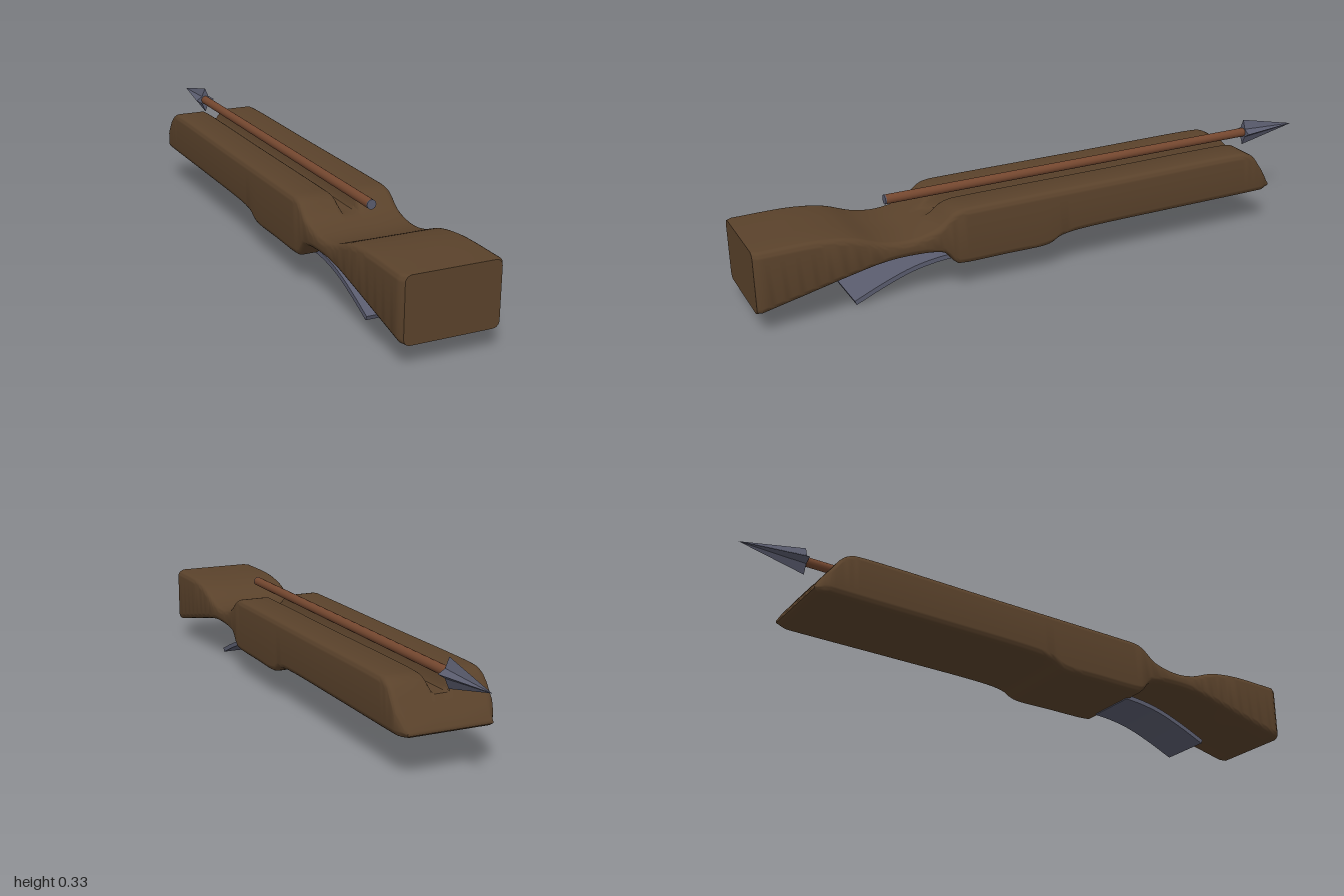
import * as THREE from 'three';
import { toCreasedNormals } from 'three/addons/utils/BufferGeometryUtils.js';

const mat = (color) => new THREE.MeshStandardMaterial({ color });
const wood = mat(0x5a422b), shaftWood = mat(0x74472f), metal = mat(0x5a5c6e);

// Smooth profile through [z, y] points (z descending), returned as y(z)
function profile(pts) {
  const curve = new THREE.CatmullRomCurve3(pts.map(([z, y]) => new THREE.Vector3(0, y, z)));
  const s = curve.getPoints(400);
  return (z) => {
    let i = 1;
    while (i < s.length - 1 && s[i].z > z) i++;
    const a = s[i - 1], b = s[i];
    const t = THREE.MathUtils.clamp((a.z - z) / Math.max(a.z - b.z, 1e-6), 0, 1);
    return a.y + (b.y - a.y) * t;
  };
}

const topY = profile([[1, .265], [.8, .264], [.7, .249], [.61, .217], [.54, .207], [.48, .213], [.43, .229],
  [.38, .267], [.35, .274], [.3, .275], [-.2, .275], [-.67, .275], [-.7, .272], [-.73, .257],
  [-.765, .21], [-.797, .166], [-.806, .15], [-.81, .142]]);
const bottomY = profile([[1, .069], [.85, .102], [.7, .135], [.62, .15], [.55, .155], [.45, .15], [.41, .139],
  [.39, .115], [.375, .098], [.35, .094], [.2, .093], [.07, .093], [.045, .099], [.02, .113], [-.02, .121],
  [-.1, .125], [-.4, .126], [-.77, .126], [-.797, .127], [-.806, .131], [-.81, .135]]);

// Rounded cross-section with a bolt groove in its top, counterclockwise seen from +z
function section(z) {
  const t = topY(z), b = bottomY(z);
  const step = THREE.MathUtils.smoothstep;
  const w = .155 - .01 * step(z, .985, 1) - .02 * (1 - step(z, -.81, -.77));
  const r = Math.min(.02, (t - b) * .45);
  const depth = z < .45 ? Math.max(0, t - .225) : 0;
  const half = [[0, b]];
  for (const [cy, a0] of [[b + r, -Math.PI / 2], [t - r, 0]]) {
    for (let k = 0; k <= 5; k++) {
      const a = a0 + k * Math.PI / 10;
      half.push([w - r + r * Math.cos(a), cy + r * Math.sin(a)]);
    }
  }
  for (const [x, d] of [[.044, 0], [.036, .1], [.03, .4], [.026, .8], [.018, 1], [0, 1]]) {
    half.push([x, t - d * depth]);
  }
  const mirrored = half.slice(1, -1).reverse().map(([x, y]) => [-x, y]);
  return [...half, ...mirrored];
}

function stockGeometry() {
  const zs = [];
  for (let i = 0; i <= 120; i++) zs.push(1 - i * .015);
  zs.push(.994, -.803, -.806, -.808, -.81);
  zs.sort((a, b) => b - a);
  const pos = [], index = [];
  const n = section(0).length;
  zs.forEach((z) => section(z).forEach(([x, y]) => pos.push(x, y, z)));
  for (let i = 0; i < zs.length - 1; i++) {
    for (let j = 0; j < n; j++) {
      const a = i * n + j, b = i * n + (j + 1) % n;
      index.push(a, a + n, b, b, a + n, b + n);
    }
  }
  // End caps
  for (const [row, z, front] of [[0, 1, true], [zs.length - 1, -.81, false]]) {
    const c = pos.length / 3;
    pos.push(0, (topY(z) + bottomY(z)) / 2, z);
    for (let j = 0; j < n; j++) {
      const a = row * n + j, b = row * n + (j + 1) % n;
      index.push(c, front ? a : b, front ? b : a);
    }
  }
  const g = new THREE.BufferGeometry();
  g.setAttribute('position', new THREE.Float32BufferAttribute(pos, 3));
  g.setIndex(index);
  return toCreasedNormals(g, .7);
}

// Curved lever plate, extruded across x from its side outline
function leverGeometry() {
  const upper = new THREE.CatmullRomCurve3([[.36, .106], [.42, .102], [.5, .088], [.59, .058], [.69, .016]]
    .map(([z, y]) => new THREE.Vector3(z, y, 0))).getPoints(16);
  const lower = upper.map((p, i) => {
    const a = upper[Math.max(0, i - 1)], b = upper[Math.min(16, i + 1)];
    const n = new THREE.Vector3(b.y - a.y, a.x - b.x, 0).normalize();
    return p.clone().addScaledVector(n, .015);
  });
  const outline = [...upper, ...lower.reverse()].map((p) => new THREE.Vector2(p.x, p.y));
  const g = new THREE.ExtrudeGeometry(new THREE.Shape(outline), { depth: .17, bevelEnabled: false });
  g.translate(0, 0, -.085).rotateY(-Math.PI / 2);
  return toCreasedNormals(g, .6);
}

// Four-bladed point: a star-shaped base drawn to a tip
function headGeometry() {
  const g = new THREE.ConeGeometry(1, .21, 8, 1).rotateX(-Math.PI / 2).toNonIndexed();
  const p = g.attributes.position;
  for (let i = 0; i < p.count; i++) {
    const x = p.getX(i), y = p.getY(i);
    if (Math.hypot(x, y) < .5) continue;
    const inner = Math.abs(x * y) > .1;
    p.setXY(i, x * (inner ? .018 : .035), y * (inner ? .02 : .045));
  }
  g.computeVertexNormals();
  return g;
}

export function createModel() {
  const model = new THREE.Group();
  const add = (name, geometry, material, y = 0, z = 0, parent = model) => {
    const mesh = new THREE.Mesh(geometry, material);
    mesh.name = name;
    mesh.position.set(0, y, z);
    parent.add(mesh);
  };
  add('stock', stockGeometry(), wood);
  add('triggerLever', leverGeometry(), metal);

  // Bolt lying above the groove
  const bolt = new THREE.Group();
  bolt.name = 'bolt';
  bolt.position.y = .291;
  model.add(bolt);
  const rod = (r, len) => new THREE.CylinderGeometry(r, r, len, 16).rotateX(Math.PI / 2);
  add('boltShaft', rod(.015, 1.35), shaftWood, 0, -.13, bolt);
  add('boltEndCap', rod(.015, .004), metal, 0, .547, bolt);
  add('boltHead', headGeometry(), metal, 0, -.895, bolt);
  return model;
}
